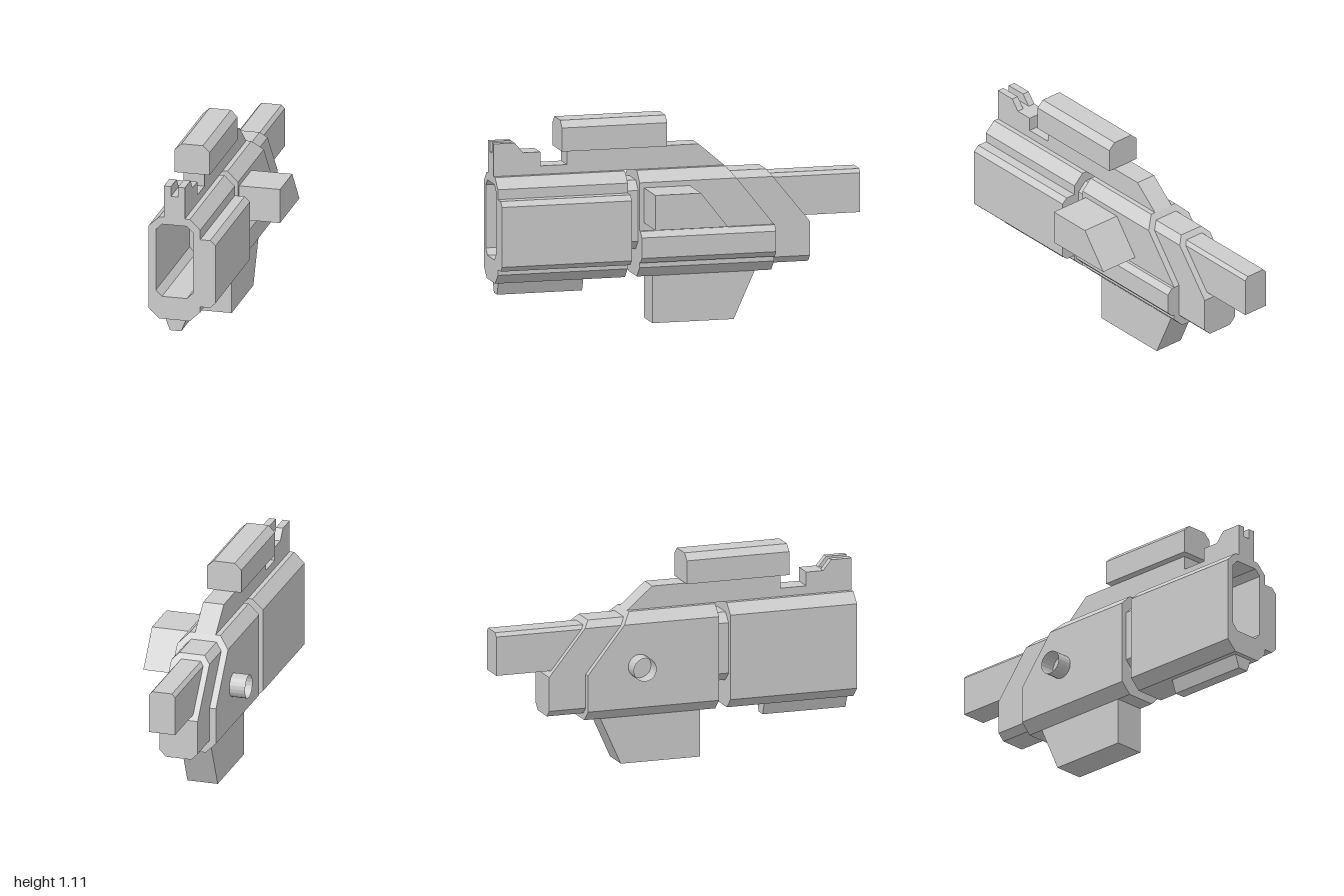
import * as THREE from 'three';
import { ConvexGeometry } from 'three/addons/geometries/ConvexGeometry.js';

const grey = new THREE.MeshStandardMaterial({ color: 0xcccccc, flatShading: true });
const openGrey = new THREE.MeshStandardMaterial({ color: 0xcccccc, flatShading: true, side: THREE.DoubleSide });

const toShape = (pts) => new THREE.Shape(pts.map(([a, b]) => new THREE.Vector2(a, b)));

// Octagon: rectangle with all four corners cut by c
const octagon = (x0, x1, y0, y1, c) => [
  [x0 + c, y0], [x1 - c, y0], [x1, y0 + c], [x1, y1 - c],
  [x1 - c, y1], [x0 + c, y1], [x0, y1 - c], [x0, y0 + c],
];

// Cross-section in x,y extruded from z0 to z1
function alongZ(pts, z0, z1, hole) {
  const shape = toShape(pts);
  if (hole) shape.holes.push(toShape(hole));
  const g = new THREE.ExtrudeGeometry(shape, { depth: z1 - z0, bevelEnabled: false });
  return g.translate(0, 0, z0);
}

// Side profile in z,y extruded from x0 to x1
function alongX(pts, x0, x1) {
  const g = new THREE.ExtrudeGeometry(toShape(pts), { depth: x1 - x0, bevelEnabled: false });
  return g.rotateY(-Math.PI / 2).translate(x1, 0, 0);
}

// Octagonal prism whose rear is sliced by a slope from (zTop, yTop) down to (zBack, yBend)
function slopedBlock(x0, x1, y0, y1, c, zFront, zTop, zBack, yBend) {
  const backZ = (y) => (y <= yBend ? zBack : zBack + (zTop - zBack) * (y - yBend) / (y1 - yBend));
  const ring = [...octagon(x0, x1, y0, y1, c), [x0, yBend], [x1, yBend]];
  const pts = [];
  for (const [x, y] of ring) {
    pts.push(new THREE.Vector3(x, y, zFront), new THREE.Vector3(x, y, backZ(y)));
  }
  return new ConvexGeometry(pts);
}

export function createModel() {
  const group = new THREE.Group();
  const add = (name, geometry, material = grey) => {
    const mesh = new THREE.Mesh(geometry, material);
    mesh.name = name;
    group.add(mesh);
  };

  // Front housing with side bulge and hollow muzzle
  const housing = [
    [-0.152, 0.255], [0.015, 0.255], [0.072, 0.31], [0.072, 0.34], [0.126, 0.34],
    [0.155, 0.368], [0.155, 0.69], [0.126, 0.717], [0.072, 0.717], [0.072, 0.77],
    [0.015, 0.825], [-0.152, 0.825], [-0.21, 0.77], [-0.21, 0.31],
  ];
  add('frontHousing', alongZ(housing, 0.31, 1, octagon(-0.17, 0.032, 0.38, 0.785, 0.033)));
  add('muzzleBackPlate', alongZ(housing, 0.29, 0.31));

  // Recessed core in the gap between the housings
  add('core', alongZ(octagon(-0.18, 0.042, 0.4, 0.77, 0.048), 0.2, 0.3));

  // Rear housing, its sloped extension and the stock bar
  add('rearHousing', slopedBlock(-0.21, 0.072, 0.255, 0.825, 0.057, 0.225, -0.26, -0.51, 0.51));
  add('rearExtension', slopedBlock(-0.175, 0.037, 0.29, 0.795, 0.036, -0.2, -0.485, -0.715, 0.51));
  add('stockBar', alongZ([
    [-0.143, 0.537], [0.002, 0.537], [0.002, 0.748], [-0.016, 0.768], [-0.125, 0.768], [-0.143, 0.748],
  ], -1, -0.4));

  // Low ridge on the side of the rear housing
  add('sideRidge', alongZ([
    [0.05, 0.34], [0.088, 0.34], [0.116, 0.37], [0.116, 0.48], [0.088, 0.51], [0.05, 0.51],
  ], -0.51, 0.225));

  // Top rail with its notch, and the two sight posts
  add('topRail', alongX([
    [1, 0.8], [1, 0.945], [0.745, 0.945], [0.745, 0.87], [0.6, 0.87], [0.6, 0.945],
    [-0.12, 0.945], [-0.26, 0.825], [-0.26, 0.8], [0.22, 0.8], [0.22, 0.825],
    [0.295, 0.825], [0.295, 0.8],
  ], -0.127, -0.012));
  for (const [x0, x1] of [[-0.127, -0.088], [-0.05, -0.012]]) {
    add('sightPost', alongX([[1, 0.945], [1, 1], [0.885, 1], [0.84, 0.945]], x0, x1));
  }

  // Scope block
  add('scope', alongZ([
    [-0.164, 0.948], [0.027, 0.948], [0.027, 1.075], [-0.01, 1.11], [-0.127, 1.11], [-0.164, 1.075],
  ], 0.062, 0.637));

  // Magazine below
  add('magazine', alongX([[0.14, 0], [0.14, 0.28], [-0.431, 0.28], [-0.305, 0]], -0.153, 0.015));

  // Tapered rail under the front housing
  add('lowerRail', alongZ([[-0.1, 0.185], [-0.038, 0.185], [-0.01, 0.256], [-0.127, 0.256]], 0.51, 0.975));

  // Wedge-shaped side block
  add('sideBlock', alongX([[0.2, 0.552], [0.2, 0.74], [-0.05, 0.74], [-0.197, 0.552]], 0.06, 0.295));

  // Open tube on the right side
  const tube = new THREE.CylinderGeometry(0.064, 0.064, 0.095, 20, 1, true);
  add('sideTube', tube.rotateZ(Math.PI / 2).translate(-0.25, 0.538, -0.22), openGrey);

  return group;
}
